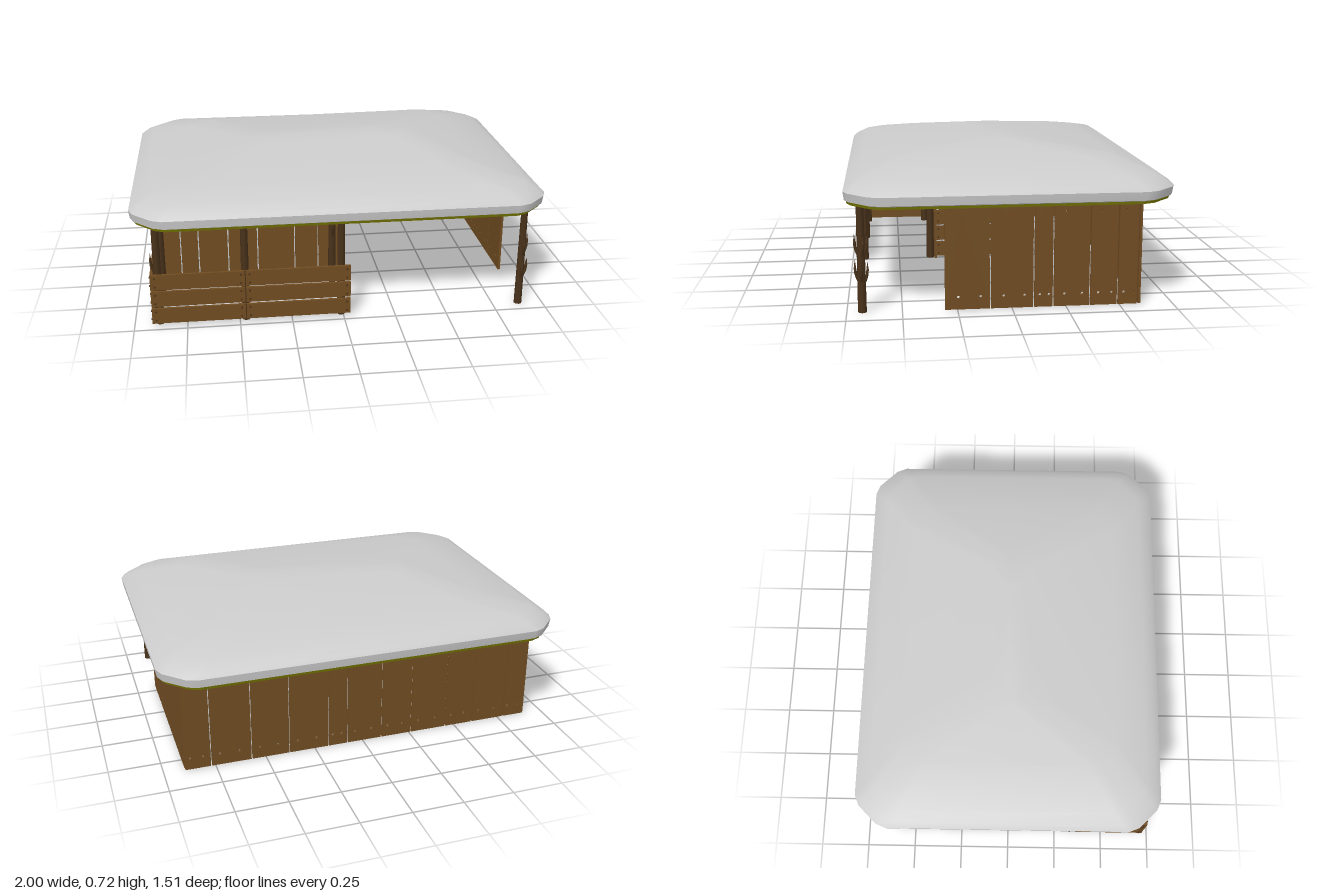
import * as THREE from 'three';
import { toCreasedNormals } from 'three/addons/utils/BufferGeometryUtils.js';

const paint = (color, side = THREE.FrontSide) => new THREE.MeshStandardMaterial({ color, side });
const wood = paint(0x704c22);
const darkWood = paint(0x49321a);
const grey = paint(0xcccccc);
const olive = paint(0x6b6a00);

function add(parent, name, geometry, material, x = 0, y = 0, z = 0) {
  const mesh = new THREE.Mesh(geometry, material);
  mesh.name = name;
  mesh.position.set(x, y, z);
  parent.add(mesh);
  return mesh;
}

// Rounded-chamfer rectangle, counter-clockwise; c scales the corner cut
function outline(x0, x1, z, c) {
  const cut = [[0, 0.16], [0.02, 0.11], [0.11, 0.02], [0.16, 0]];
  const points = [];
  for (const [sx, sz] of [[1, 1], [-1, 1], [-1, -1], [1, -1]]) {
    const corner = cut.map(([a, b]) => [sx > 0 ? x1 - a * c : x0 + a * c, sz * (z - b * c)]);
    points.push(...(sx * sz > 0 ? corner : corner.reverse()));
  }
  return points;
}

// Padded hip roof lofted through chamfered rings, slightly lower on one end
function roofGeometry() {
  const rings = [ // x0, x1, half depth, corner scale, y, drop at the -x end
    [-0.975, 0.975, 0.73, 1, 0.5, 0],
    [-0.995, 0.995, 0.75, 1, 0.51, 0],
    [-1, 1, 0.755, 1, 0.55, 0],
    [-0.975, 0.975, 0.73, 1, 0.575, 0],
    [-0.92, 0.92, 0.68, 0.95, 0.605, 0],
    [-0.7, 0.7, 0.53, 0.8, 0.658, 0.016],
    [-0.4, 0.42, 0.1, 0.5, 0.712, 0.022],
  ];
  const pos = [], index = [], n = 16;
  for (const [x0, x1, z, c, y, drop] of rings)
    for (const [px, pz] of outline(x0, x1, z, c)) pos.push(px, px < 0 ? y - drop : y, pz);
  for (let r = 0; r < rings.length - 1; r++)
    for (let i = 0; i < n; i++) {
      const a = r * n + i, b = r * n + (i + 1) % n;
      index.push(a, a + n, b, b, a + n, b + n);
    }
  const top = (rings.length - 1) * n, peak = rings.length * n;
  pos.push(0.2, 0.72, 0);
  for (let i = 0; i < n; i++) index.push(top + i, peak, top + (i + 1) % n);
  const geometry = new THREE.BufferGeometry();
  geometry.setAttribute('position', new THREE.Float32BufferAttribute(pos, 3));
  geometry.setIndex(index);
  return toCreasedNormals(geometry, 0.9);
}

// Vertical boards between successive edges, with drilled nail holes
function boardWall(name, edges) {
  const group = new THREE.Group();
  group.name = name;
  const height = 0.498, gap = 0.003;
  for (let i = 0; i < edges.length - 1; i++) {
    const a = edges[i] + gap, b = edges[i + 1] - gap;
    const shape = new THREE.Shape();
    shape.moveTo(a, 0.002).lineTo(b, 0.002).lineTo(b, height).lineTo(a, height).closePath();
    if (b - a > 0.05)
      for (const [t, y] of [[0.3, 0.06], [0.8, 0.06], [0.35, 0.45]]) {
        const hole = new THREE.Path();
        hole.absarc(a + (b - a) * t, y, 0.007, 0, Math.PI * 2, true);
        shape.holes.push(hole);
      }
    const geometry = new THREE.ExtrudeGeometry(shape, { depth: 0.012, bevelEnabled: false, curveSegments: 4 });
    add(group, 'wallBoard', geometry, wood, 0, 0, -0.006);
  }
  return group;
}

// Three horizontal planks, split into bays, with nails at each end
function fence(name, edges) {
  const group = new THREE.Group();
  group.name = name;
  const nail = new THREE.CylinderGeometry(0.005, 0.005, 0.022, 6).rotateX(Math.PI / 2);
  for (let i = 0; i < edges.length - 1; i++) {
    const width = edges[i + 1] - edges[i] - 0.005, mid = (edges[i] + edges[i + 1]) / 2;
    for (const y of [0.056, 0.144, 0.23]) {
      add(group, 'fencePlank', new THREE.BoxGeometry(width, 0.077, 0.013), wood, mid, y, 0);
      for (const s of [-1, 1])
        for (const dy of [-0.022, 0.022])
          add(group, 'nail', nail, darkWood, mid + s * (width / 2 - 0.018), y + dy, 0);
    }
  }
  return group;
}

// Log post; some carry short broken twigs
function post(x, z, twigs) {
  const group = new THREE.Group();
  group.name = 'post';
  group.position.set(x, 0, z);
  add(group, 'postLog', new THREE.CylinderGeometry(0.017, 0.02, 0.498, 8), darkWood, 0, 0.249, 0);
  for (const [angle, y] of twigs) {
    const twig = new THREE.Group();
    twig.name = 'twig';
    twig.rotation.y = angle;
    const curve = new THREE.CatmullRomCurve3([
      new THREE.Vector3(0.005, y, 0), new THREE.Vector3(0.025, y + 0.05, 0), new THREE.Vector3(0.027, y + 0.075, 0)]);
    add(twig, 'twigStem', new THREE.TubeGeometry(curve, 4, 0.007, 6), darkWood);
    add(twig, 'twigTip', new THREE.ConeGeometry(0.007, 0.045, 6), darkWood, 0.028, y + 0.095, 0);
    group.add(twig);
  }
  return group;
}

export function createModel() {
  const model = new THREE.Group();
  model.name = 'shelter';

  // Roof with flat underside board
  add(model, 'roof', roofGeometry(), grey);
  const slab = new THREE.Shape(outline(-0.985, 0.985, 0.74, 1).map(([x, z]) => new THREE.Vector2(x, z)));
  const under = new THREE.ExtrudeGeometry(slab, { depth: 0.012, bevelEnabled: false }).rotateX(Math.PI / 2);
  add(model, 'roofUnderside', under, olive, 0, 0.505, 0);

  // Board walls: back, inner front and the two sides
  const place = (part, x, z, turn = 0) => {
    part.position.set(x, 0, z);
    part.rotation.y = turn;
    model.add(part);
  };
  const quarter = Math.PI / 2;
  const backEdges = [-0.9, -0.78, -0.6, -0.45, -0.26, -0.1, 0.08, 0.18, 0.38, 0.57, 0.77, 0.9];
  const sideEdges = [-0.31, -0.1, 0.1, 0.19, 0.36, 0.49, 0.585];
  place(boardWall('backWall', backEdges), 0, -0.594);
  place(boardWall('frontWall', [-0.9, -0.78, -0.69, -0.54, -0.39, -0.2, -0.08, 0.03]), 0, 0.305);
  place(boardWall('leftWall', sideEdges), 0.893, 0, quarter);
  place(boardWall('rightWall', sideEdges), -0.893, 0, quarter);

  // Low plank fences around the porch and beside the entrance
  place(fence('frontFence', [-0.915, -0.47, 0.035]), 0, 0.715);
  place(fence('sideFence', [-0.725, -0.31]), -0.908, 0, quarter);
  place(fence('innerFence', [-0.31, 0.15]), 0.028, 0, quarter);

  // Posts
  const posts = [
    [0.88, 0.68, [[0, 0.13], [quarter, 0.25], [-quarter, 0.25], [quarter, 0.12], [-quarter, 0.13], [0.4, 0.25]]],
    [-0.88, 0.68, [[Math.PI, 0.25]]],
    [-0.47, 0.685, []],
    [-0.01, 0.685, []],
    [-0.01, 0.332, [[-quarter, 0.25]]],
    [-0.88, 0.332, []],
    [0.0, -0.15, []],
  ];
  for (const [x, z, twigs] of posts) model.add(post(x, z, twigs));

  return model;
}
